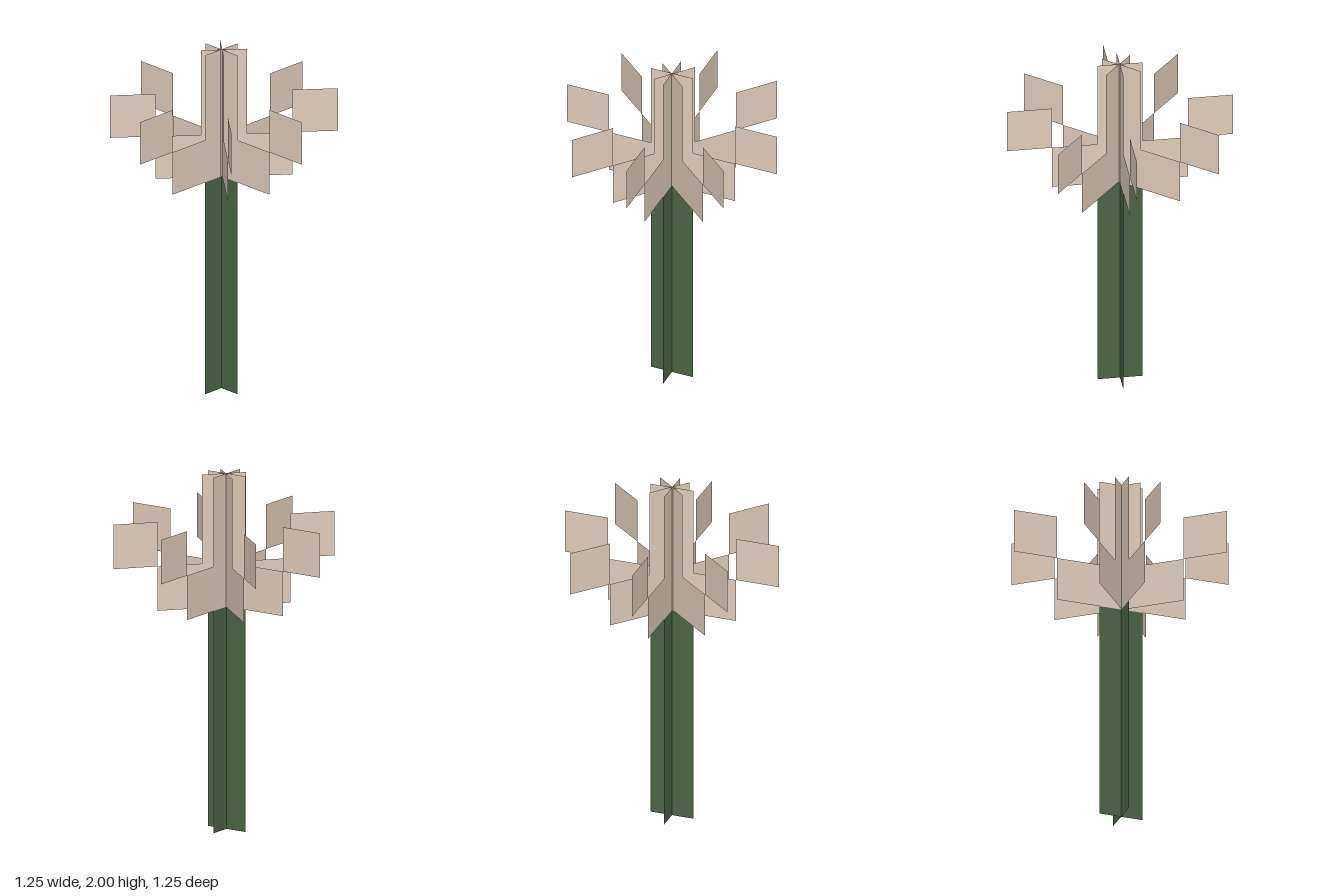
import * as THREE from 'three';

const petalMat = new THREE.MeshStandardMaterial({ color: 0xdfcdbb, side: THREE.DoubleSide });
petalMat.name = 'pale petal';
const stemMat = new THREE.MeshStandardMaterial({ color: 0x4c6446, side: THREE.DoubleSide });
stemMat.name = 'green stem';

// Upright flat card spanning x0..x1 and y0..y1
function card(name, material, x0, x1, y0, y1) {
  const geometry = new THREE.PlaneGeometry(x1 - x0, y1 - y0);
  geometry.translate((x0 + x1) / 2, (y0 + y1) / 2, 0);
  const mesh = new THREE.Mesh(geometry, material);
  mesh.name = name;
  return mesh;
}

// One flat petal layer: centre column, wide base and two stepped tips
function petalLayer() {
  const layer = new THREE.Group();
  layer.name = 'petalLayer';
  layer.add(
    card('petalBase', petalMat, -0.375, 0.375, 1.25, 1.5),
    card('petalColumn', petalMat, -0.125, 0.125, 1.5, 2),
    card('petalTipLeft', petalMat, 0.375, 0.625, 1.5, 1.75),
    card('petalTipRight', petalMat, -0.625, -0.375, 1.5, 1.75),
  );
  return layer;
}

export function createModel() {
  const flower = new THREE.Group();
  flower.name = 'flower';

  // Stem: two crossed cards
  for (const degrees of [0, 90]) {
    const stem = card('stem', stemMat, -0.125, 0.125, 0, 1.25);
    stem.rotation.y = THREE.MathUtils.degToRad(degrees);
    flower.add(stem);
  }

  // Bloom: four crossed layers, the diagonal pair slightly off centre
  const layers = [[0, 0, 0], [90, 0, 0], [-40, -0.007, -0.012], [50, 0.012, -0.008]];
  for (const [degrees, x, z] of layers) {
    const layer = petalLayer();
    layer.rotation.y = THREE.MathUtils.degToRad(degrees);
    layer.position.set(x, 0, z);
    flower.add(layer);
  }
  return flower;
}
